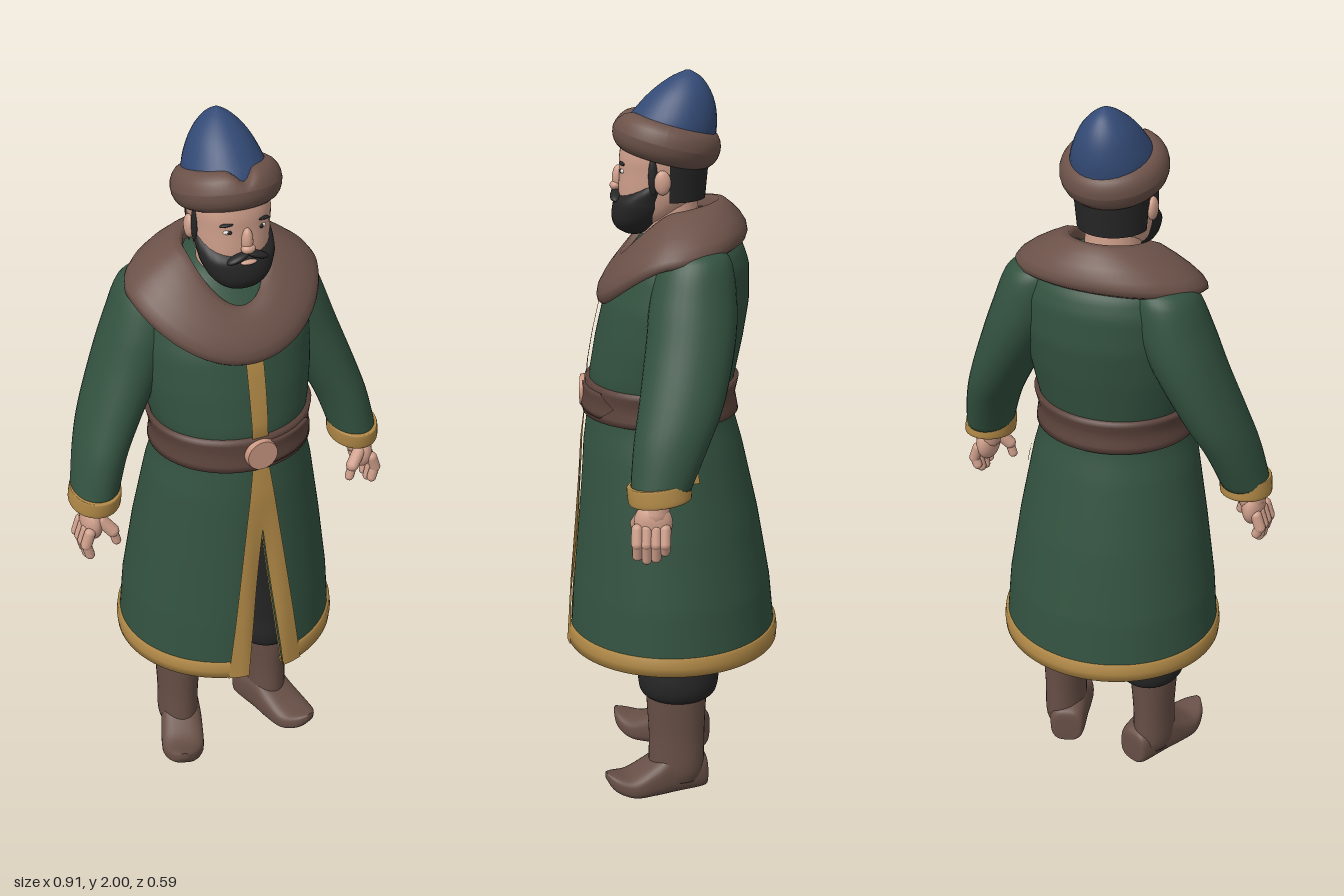
import * as THREE from 'three';
import { mergeVertices } from 'three/addons/utils/BufferGeometryUtils.js';

const mat = (name, color) => new THREE.MeshStandardMaterial({ name, color, side: THREE.DoubleSide });
const M = {
  green: mat('coatGreen', 0x335240), gold: mat('trimGold', 0xb08846), fur: mat('furBrown', 0x6c5249),
  belt: mat('beltBrown', 0x5c433c), boot: mat('bootBrown', 0x674f46), blue: mat('hatBlue', 0x334a75),
  skin: mat('skin', 0xcf9f8b), black: mat('black', 0x262626), copper: mat('copper', 0xc8957f), white: mat('eyeWhite', 0xe4ded6),
};
const { sin, cos, exp, abs, sign, PI } = Math;
const lerp = THREE.MathUtils.lerp;

// Smooth surface from a rule fn(u, v) -> [x, y, z]
function grid(nu, nv, fn) {
  const pos = [], idx = [];
  for (let j = 0; j <= nv; j++) for (let i = 0; i <= nu; i++) pos.push(...fn(i / nu, j / nv));
  for (let j = 0; j < nv; j++) for (let i = 0; i < nu; i++) {
    const a = j * (nu + 1) + i, b = a + nu + 1;
    idx.push(a, b, a + 1, a + 1, b, b + 1);
  }
  let g = new THREE.BufferGeometry();
  g.setAttribute('position', new THREE.Float32BufferAttribute(pos, 3));
  g.setIndex(idx);
  g = mergeVertices(g, 1e-5);
  g.computeVertexNormals();
  return g;
}

// Catmull-Rom through rows of numbers, t in 0..1
function spline(rows, t) {
  const n = rows.length - 1, f = t * n, i = Math.min(Math.floor(f), n - 1), k = f - i;
  const r = (m) => rows[Math.max(0, Math.min(n, m))];
  const [p, a, b, q] = [r(i - 1), r(i), r(i + 1), r(i + 2)];
  return a.map((_, c) => 0.5 * (2 * a[c] + (b[c] - p[c]) * k + (2 * p[c] - 5 * a[c] + 4 * b[c] - q[c]) * k * k
    + (3 * a[c] - p[c] - 3 * b[c] + q[c]) * k ** 3));
}

// Closed loft of rounded rings: rows are [height, x0, x1, z0, z1]; e < 1 makes them boxier
function rings(rows, { seg = 32, e = 1 } = {}) {
  const mid = ([y, a, b, c, d]) => [y, (a + b) / 2, (a + b) / 2, (c + d) / 2, (c + d) / 2];
  const n = (rows.length - 1) * 5;
  return grid(seg, n + 2, (u, v) => {
    const j = Math.round(v * (n + 2)) - 1;
    const [y, a, b, c, d] = j < 0 ? mid(rows[0]) : j > n ? mid(rows.at(-1)) : spline(rows, j / n);
    const s = sin(u * 2 * PI), k = cos(u * 2 * PI);
    return [(a + b) / 2 + (b - a) / 2 * sign(s) * abs(s) ** e, y, (c + d) / 2 + (d - c) / 2 * sign(k) * abs(k) ** e];
  });
}
const sym = (rows) => rows.map(([y, w, z0, z1]) => [y, -w, w, z0, z1]);

// Coat outline: [y, half width, front z, back z]
const COAT = [[1.62, 0.06, 0.02, -0.09], [1.6, 0.13, 0.06, -0.14], [1.55, 0.2, 0.1, -0.185], [1.5, 0.23, 0.14, -0.203],
  [1.4, 0.237, 0.185, -0.205], [1.3, 0.232, 0.208, -0.19], [1.2, 0.217, 0.225, -0.17], [1.14, 0.203, 0.225, -0.157],
  [1.07, 0.211, 0.235, -0.17], [1, 0.229, 0.244, -0.19], [0.8, 0.264, 0.262, -0.236], [0.6, 0.293, 0.28, -0.272], [0.42, 0.307, 0.292, -0.29]];
function outline(y) {
  let i = 0;
  while (i < COAT.length - 2 && COAT[i + 1][0] > y) i++;
  const [p, q] = [COAT[i], COAT[i + 1]], t = (p[0] - y) / (p[0] - q[0]);
  return p.map((_, c) => lerp(p[c], q[c], t));
}
function coatPoint(a, y, off) {
  const [, w, f, b] = outline(y);
  const x = (w + off) * sin(a), curl = 0.03 * exp(-((x / 0.035) ** 2)) * Math.max(0, Math.min(1, (1 - y) / 0.5));
  return [x, y, (f + b) / 2 + ((f - b) / 2 + off) * cos(a) - (cos(a) > 0 ? curl : 0)];
}
// Piece of coat surface: rows [y, offset], between angles from(y) and to(y); 0 is the front
const band = (rows, from, to, nu = 64) => grid(nu, rows.length - 1, (u, v) => {
  const [y, off] = rows[Math.round(v * (rows.length - 1))];
  return coatPoint(lerp(from(y), to(y), u), y, off);
});
const span = (y0, y1, off, n) => Array.from({ length: n + 1 }, (_, i) => [lerp(y0, y1, i / n), off]);
const thick = (y0, y1, off) => [[y0, -0.004], ...span(y0, y1, off, 6), [y1, -0.004]];
const slit = (y) => Math.asin(Math.max(0, 0.9 - y) * 0.11 / outline(y)[1]);
const trimEdge = (y) => Math.asin(lerp(0.022, 0.108, Math.max(0, 1.1 - y) / 0.67) / outline(y)[1]);

function limb(a, b, r) {
  const p = new THREE.Vector3(...a), d = new THREE.Vector3(...b).sub(p);
  const g = new THREE.CapsuleGeometry(r, d.length(), 6, 12);
  g.applyQuaternion(new THREE.Quaternion().setFromUnitVectors(new THREE.Vector3(0, 1, 0), d.clone().normalize()));
  return g.translate(...p.addScaledVector(d, 0.5).toArray());
}
const blob = (x, y, z, sx, sy, sz, rot = 0) => new THREE.SphereGeometry(1, 20, 14).scale(sx, sy, sz).rotateZ(rot).translate(x, y, z);

export function createModel() {
  const model = new THREE.Group();
  model.name = 'figure';
  const add = (name, geo, material, parent = model) => {
    const m = new THREE.Mesh(geo, material);
    m.name = name;
    parent.add(m);
    return m;
  };

  // Coat with open front slit, gold edges, belt
  add('coat', band([...span(1.62, 0.9, 0, 40), ...span(0.89, 0.43, 0, 24)], slit, (y) => 2 * PI - slit(y), 96), M.green);
  add('hem', band([[0.445, -0.012], [0.428, -0.01], [0.426, 0.004], [0.45, 0.008], [0.475, 0.007], [0.477, 0]], slit, (y) => 2 * PI - slit(y), 96), M.gold);
  for (const s of [1, -1]) {
    add('slitTrim', band(span(1.1, 0.428, 0.009, 30), (y) => s * slit(y), (y) => s * trimEdge(y), 6), M.gold);
    add('slitLining', band(span(0.9, 0.428, -0.006, 20), (y) => s * slit(y), (y) => s * (slit(y) + 0.08), 4), M.gold);
  }
  add('placket', band(thick(1.44, 1.18, 0.01), () => -0.1, () => 0.1, 6), M.gold);
  add('belt', band(thick(1.185, 1.092, 0.013), () => 0, () => 2 * PI, 64), M.belt);
  add('beltTongue', band(thick(1.172, 1.105, 0.019), () => 0.1, (y) => 1 - abs(y - 1.138) * 7, 16), M.belt);
  add('buckle', new THREE.CylinderGeometry(0.042, 0.046, 0.02, 28).rotateX(PI / 2).translate(0, 1.138, 0.241), M.copper);
  add('hipPatch', band(span(0.985, 0.948, 0.007, 3), () => 1.85, () => 2.03, 4), M.gold);

  // Fur collar: ring sloping from the neck to the shoulders, pointed in front
  const section = [[0.05, -0.03], [0, -0.012], [0, 0.004], [0.12, 0.016], [0.35, 0.022], [0.6, 0.025], [0.82, 0.022], [0.95, 0.012], [1, -0.002], [0.97, -0.016], [0.85, -0.025]];
  add('furCollar', grid(72, section.length - 1, (u, v) => {
    const a = u * 2 * PI, s = sin(a), c = cos(a), f = Math.max(0, c), b = Math.max(0, -c);
    const [t, lift] = section[Math.round(v * (section.length - 1))];
    const y = lerp(1.645 - 0.125 * f ** 1.5 + 0.02 * b, 1.54 - 0.145 * f ** 1.57 + 0.03 * b, t);
    const z = lerp(-0.01 + (c > 0 ? 0.13 : 0.11) * c, -0.01 + (c > 0 ? 0.21 : 0.185) * c, t);
    return [s * (lerp(0.105, 0.262, t) + lift * 0.4), y + lift * 0.8, z + c * lift * 0.6];
  }), M.fur);

  // Head
  const head = new THREE.Group();
  head.name = 'head';
  model.add(head);
  add('neck', new THREE.CylinderGeometry(0.068, 0.08, 0.16, 24).translate(0, 1.62, 0.005), M.skin, head);
  add('skull', rings(sym([[1.87, 0.09, -0.08, 0.12], [1.79, 0.102, -0.09, 0.138], [1.74, 0.1, -0.085, 0.14], [1.68, 0.094, -0.065, 0.142], [1.63, 0.078, -0.02, 0.138], [1.6, 0.05, 0.03, 0.12]]), { e: 0.88 }), M.skin, head);
  add('beard', rings(sym([[1.715, 0.1, 0.005, 0.08], [1.695, 0.103, 0, 0.115], [1.672, 0.1, 0, 0.148], [1.65, 0.096, 0.005, 0.158], [1.615, 0.08, 0.025, 0.16], [1.59, 0.056, 0.05, 0.148], [1.574, 0.022, 0.08, 0.122]]), { e: 0.9 }), M.black, head);
  add('hair', grid(32, 8, (u, v) => {
    const a = lerp(PI * 0.52, PI * 1.48, u), w = 0.107 - 0.012 * v;
    return [w * sin(a), lerp(1.8, 1.67, v), 0.01 + (0.108 - 0.012 * v) * cos(a)];
  }), M.black, head);
  add('nose', blob(0, 1.718, 0.142, 0.015, 0.036, 0.017), M.skin, head);
  add('noseTip', blob(0, 1.7, 0.15, 0.019, 0.013, 0.015), M.skin, head);
  add('lips', blob(0, 1.664, 0.153, 0.022, 0.006, 0.01), M.skin, head);
  for (const s of [1, -1]) {
    add('moustache', blob(s * 0.026, 1.678, 0.147, 0.032, 0.009, 0.016, -s * 0.35), M.black, head);
    add('ear', blob(s * 0.104, 1.725, 0.022, 0.013, 0.032, 0.022), M.skin, head);
    add('sideburn', blob(s * 0.1, 1.74, 0.047, 0.008, 0.05, 0.012), M.black, head);
    add('eye', blob(s * 0.043, 1.745, 0.126, 0.015, 0.007, 0.008), M.white, head);
    add('iris', blob(s * 0.043, 1.745, 0.132, 0.006, 0.006, 0.004), M.black, head);
    add('eyebrow', blob(s * 0.044, 1.766, 0.127, 0.024, 0.005, 0.009, -s * 0.1), M.black, head);
  }

  // Hat with pointed crown and notched fur brim
  add('hatCrown', rings(sym([[2, 0.004, -0.046, -0.034], [1.982, 0.034, -0.075, 0.005], [1.95, 0.065, -0.098, 0.05], [1.91, 0.088, -0.112, 0.09], [1.86, 0.106, -0.116, 0.125], [1.8, 0.108, -0.108, 0.125]])), M.blue, head);
  const brim = new THREE.TorusGeometry(0.1, 0.04, 20, 64).rotateX(PI / 2).scale(1, 1.28, 1.03);
  const p = brim.attributes.position;
  for (let i = 0; i < p.count; i++)
    if (p.getZ(i) > 0 && p.getY(i) > 0) p.setY(i, p.getY(i) * (1 - 0.6 * exp(-((p.getX(i) / 0.022) ** 2))));
  brim.computeVertexNormals();
  const brimMesh = add('hatBrim', brim, M.fur, head);
  brimMesh.position.set(0, 1.823, 0.015);
  brimMesh.rotation.x = -0.25;

  // Arms and legs, mirrored
  for (const s of [1, -1]) {
    const side = new THREE.Group();
    side.name = s > 0 ? 'leftLimbs' : 'rightLimbs';
    side.scale.x = s;
    model.add(side);
    add('sleeve', rings([[1.575, 0.13, 0.21, -0.11, -0.03], [1.545, 0.1, 0.262, -0.155, 0.02], [1.45, 0.11, 0.303, -0.172, 0.05], [1.34, 0.155, 0.344, -0.17, 0.06],
      [1.2, 0.232, 0.396, -0.143, 0.075], [1.1, 0.285, 0.427, -0.105, 0.088], [0.99, 0.322, 0.45, -0.06, 0.095]]), M.green, side);
    const cuff = add('cuff', rings([[0.025, -0.064, 0.064, -0.076, 0.078], [0.02, -0.069, 0.067, -0.081, 0.083], [-0.018, -0.067, 0.071, -0.081, 0.083], [-0.024, -0.06, 0.064, -0.072, 0.074]]), M.gold, side);
    cuff.position.set(0.386, 0.983, 0.02);
    cuff.rotation.x = 0.12;
    add('wrist', limb([0.39, 0.98, 0.025], [0.4, 0.93, 0.03], 0.036), M.skin, side);
    add('palm', blob(0.406, 0.908, 0.036, 0.03, 0.055, 0.05), M.skin, side);
    [0.076, 0.052, 0.028, 0.005].forEach((z, i) => {
      const tip = [0.825, 0.815, 0.82, 0.838][i];
      add('finger', limb([0.425, 0.895, z], [0.437, 0.86, z], 0.0155), M.skin, side);
      add('fingertip', limb([0.437, 0.86, z], [0.428, tip, z], 0.0135), M.skin, side);
    });
    add('thumb', limb([0.388, 0.92, 0.066], [0.362, 0.888, 0.08], 0.018), M.skin, side);
    add('thumbTip', limb([0.362, 0.888, 0.08], [0.353, 0.855, 0.082], 0.013), M.skin, side);

    add('trouserLeg', rings([[0.96, 0.005, 0.19, -0.12, 0.13], [0.75, 0.015, 0.21, -0.13, 0.12], [0.55, 0.03, 0.22, -0.13, 0.1], [0.42, 0.037, 0.225, -0.13, 0.09],
      [0.35, 0.034, 0.231, -0.132, 0.092], [0.31, 0.046, 0.222, -0.122, 0.084], [0.29, 0.075, 0.2, -0.095, 0.06]]), M.black, side);
    add('bootShaft', rings([[0.32, 0.075, 0.206, -0.1, 0.068], [0.28, 0.077, 0.205, -0.098, 0.068], [0.18, 0.086, 0.2, -0.094, 0.062], [0.08, 0.088, 0.2, -0.092, 0.062], [0.04, 0.095, 0.19, -0.08, 0.05]]), M.boot, side);
    // Foot lofted from heel to upturned toe
    const foot = rings([[-0.1, -0.035, 0.035, -0.085, -0.01], [-0.085, -0.05, 0.05, -0.115, -0.003], [0, -0.058, 0.058, -0.135, 0], [0.06, -0.062, 0.062, -0.1, 0],
      [0.12, -0.06, 0.06, -0.07, -0.004], [0.168, -0.038, 0.038, -0.076, -0.026], [0.19, -0.01, 0.01, -0.082, -0.06]], { e: 0.7 }).rotateX(PI / 2);
    const footMesh = add('foot', foot, M.boot, side);
    footMesh.position.set(0.14, 0, 0);
    footMesh.rotation.y = 0.35;
  }
  return model;
}
